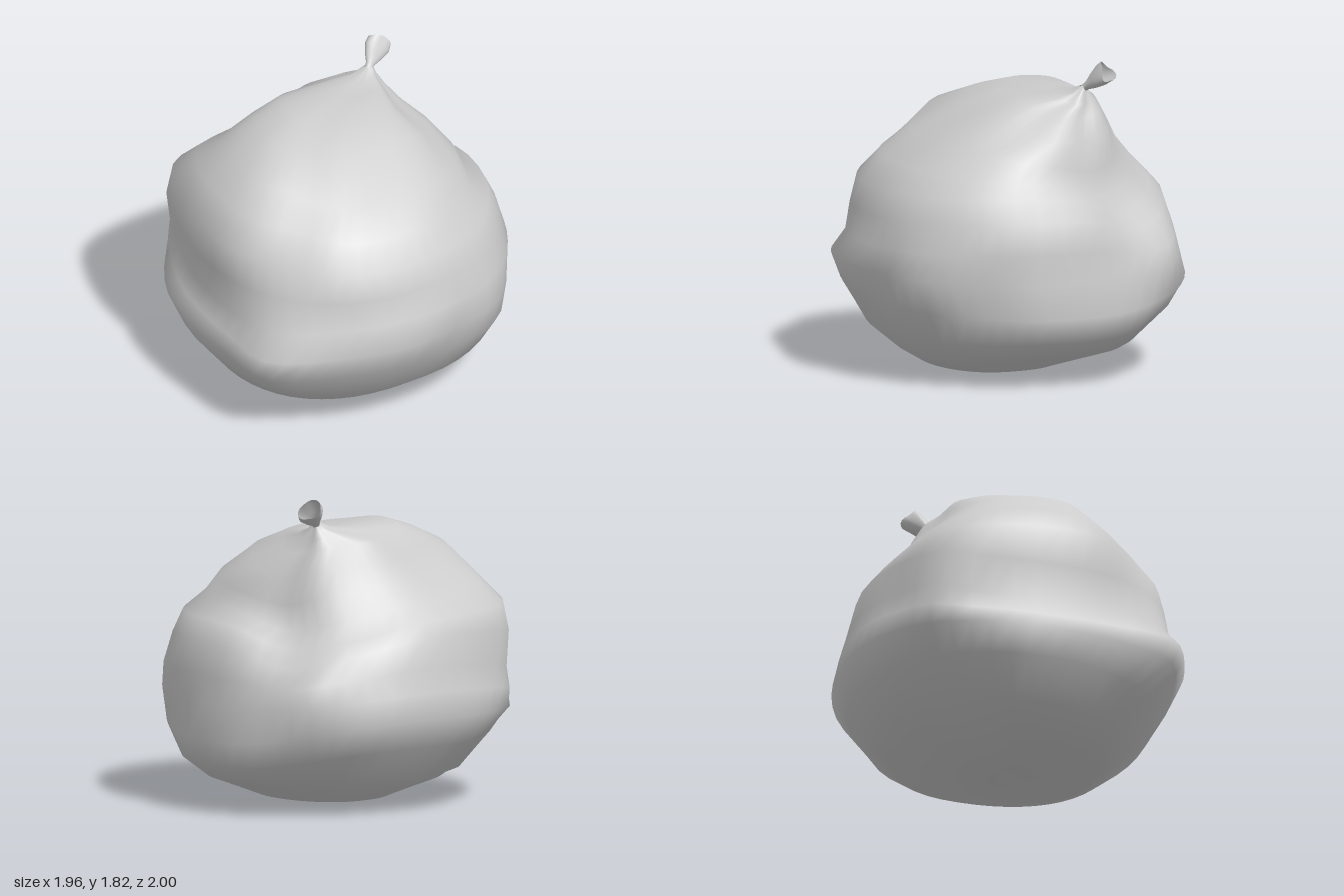
import * as THREE from 'three';

const SEG = 48;

// Four [offset, height] outlines of the sack, bottom to neck, one pair per ring.
const left = [[-0.05, 0.02], [-0.4, 0.02], [-0.75, 0.14], [-0.91, 0.35], [-0.98, 0.51], [-0.93, 0.61], [-0.88, 0.72],
  [-0.9, 0.95], [-0.91, 1.18], [-0.79, 1.34], [-0.63, 1.5], [-0.43, 1.58], [-0.22, 1.64], [0.1, 1.63], [0.26, 1.64], [0.345, 1.67]];
const right = [[0.15, 0], [0.35, 0.02], [0.75, 0.16], [0.91, 0.27], [0.98, 0.42], [0.93, 0.62], [0.95, 0.8],
  [0.9, 0.98], [0.84, 1.1], [0.72, 1.16], [0.68, 1.27], [0.59, 1.4], [0.48, 1.5], [0.43, 1.57], [0.4, 1.63], [0.39, 1.67]];
const front = [[0.1, 0.03], [0.5, 0.04], [0.62, 0.11], [0.79, 0.25], [0.91, 0.46], [1, 0.65], [0.93, 0.79],
  [0.89, 0.95], [0.84, 1.1], [0.72, 1.24], [0.54, 1.37], [0.27, 1.53], [0.05, 1.61], [-0.15, 1.62], [-0.25, 1.63], [-0.305, 1.67]];
const back = [[-0.1, 0], [-0.25, 0.01], [-0.7, 0.16], [-0.92, 0.4], [-1, 0.57], [-0.97, 0.72], [-0.93, 0.86],
  [-0.9, 1.04], [-0.83, 1.12], [-0.74, 1.21], [-0.62, 1.33], [-0.55, 1.44], [-0.48, 1.55], [-0.42, 1.6], [-0.37, 1.63], [-0.35, 1.67]];

// Soft dents and swellings: centre, reach, push
const dents = [
  { at: [0.6, 1.2, -0.3], reach: 0.2, push: [-0.03, -0.06, 0.01] }, // foot of the neck
  { at: [0.5, 1.23, 0.2], reach: 0.22, push: [0.02, 0.03, 0.03] }, // shoulder before the neck
  { at: [0.74, 1.06, -0.56], reach: 0.27, push: [-0.06, -0.14, 0.05] }, // sagging shelf
  { at: [0.38, 1.12, -0.78], reach: 0.26, push: [0, -0.08, 0.03] },
  { at: [0.68, 0.75, -0.66], reach: 0.22, push: [0.06, 0, -0.05] },
  { at: [0.6, 0.3, -0.62], reach: 0.2, push: [-0.05, 0, 0.05] },
  { at: [0.85, 0.5, 0.45], reach: 0.2, push: [-0.03, 0, -0.03] },
  { at: [0.3, 0.6, 0.95], reach: 0.16, push: [0, 0, -0.05] },
  { at: [-0.74, 0.53, 0.66], reach: 0.27, push: [-0.11, -0.01, 0.05] }, // front corner
  { at: [-0.62, 1.24, 0.56], reach: 0.23, push: [0.06, 0, -0.05] },
  { at: [-0.66, 1.05, -0.62], reach: 0.28, push: [-0.07, 0, -0.05] }, // back corner
  { at: [-0.68, 0.74, -0.68], reach: 0.18, push: [-0.04, 0, -0.04] },
  { at: [-0.6, 0.25, -0.62], reach: 0.3, push: [0.07, 0.04, 0.07] }, // tucked-in underside
];

// Skin a stack of rings; point(i, t) gives the position on ring i at angle t
function loft(rings, seg, point, capped) {
  const pos = [], idx = [];
  for (let i = 0; i < rings; i++)
    for (let j = 0; j < seg; j++) pos.push(...point(i, (j / seg) * Math.PI * 2).toArray());
  for (let i = 0; i < rings - 1; i++)
    for (let j = 0; j < seg; j++) {
      const k = (j + 1) % seg, a = i * seg + j, b = i * seg + k;
      idx.push(a, a + seg, b, b, a + seg, b + seg);
    }
  if (capped) {
    const c = pos.length / 3;
    pos.push(0.03, 0.01, 0);
    for (let j = 0; j < seg; j++) idx.push(c, j, (j + 1) % seg);
  }
  const geo = new THREE.BufferGeometry();
  geo.setAttribute('position', new THREE.Float32BufferAttribute(pos, 3));
  geo.setIndex(idx);
  geo.computeVertexNormals();
  return geo;
}

function sackPoint(i, t) {
  const [xl, yl] = left[i], [xr, yr] = right[i], [zf, yf] = front[i], [zb, yb] = back[i];
  const c = Math.cos(t), s = Math.sin(t);
  const round = (v) => Math.sign(v) * Math.abs(v) ** 0.9;
  // Gathered folds run down from the neck
  const fold = i > 9 && i < 15 ? 1 + 0.05 * Math.sin(t * 7 + 0.6) * Math.min(1, (i - 9) / 3) : 1;
  const p = new THREE.Vector3(
    (xl + xr) / 2 + ((xr - xl) / 2) * round(c) * fold,
    (c > 0 ? yr : yl) * c * c + (s > 0 ? yf : yb) * s * s,
    (zf + zb) / 2 + ((zf - zb) / 2) * round(s) * fold);
  for (const d of dents) {
    const dist = p.distanceTo(new THREE.Vector3(...d.at));
    p.addScaledVector(new THREE.Vector3(...d.push), Math.exp(-((dist / d.reach) ** 2)));
  }
  return p;
}

// Flared, crumpled end above the tie
const base = new THREE.Vector3(0.367, 1.655, -0.328);
const axis = new THREE.Vector3(0.12, 0.11, -0.1).normalize();
const across = new THREE.Vector3(1, -0.6, 0.4).normalize();
across.addScaledVector(axis, -across.dot(axis)).normalize();
const deep = new THREE.Vector3().crossVectors(across, axis);
const flare = [[0, 0.024, 0.022], [0.03, 0.026, 0.022], [0.08, 0.052, 0.038], [0.14, 0.075, 0.054], [0.185, 0.07, 0.058]];

function tuftPoint(i, t) {
  const [h, w, d] = flare[i], k = i / (flare.length - 1);
  const wave = 1 + 0.14 * k * Math.sin(3 * t + 0.5);
  return base.clone()
    .addScaledVector(axis, h - 0.014 * k * Math.cos(2 * t + 0.4))
    .addScaledVector(across, w * Math.cos(t) * wave)
    .addScaledVector(deep, d * Math.sin(t) * wave);
}

export function createModel() {
  const group = new THREE.Group();
  group.name = 'tiedSack';
  const material = new THREE.MeshStandardMaterial({ color: 0xcccccc, side: THREE.DoubleSide });
  const add = (name, geometry) => {
    const mesh = new THREE.Mesh(geometry, material);
    mesh.name = name;
    group.add(mesh);
  };
  add('sackBody', loft(left.length, SEG, sackPoint, true));
  add('gatheredTop', loft(flare.length, 24, tuftPoint, false));
  return group;
}
